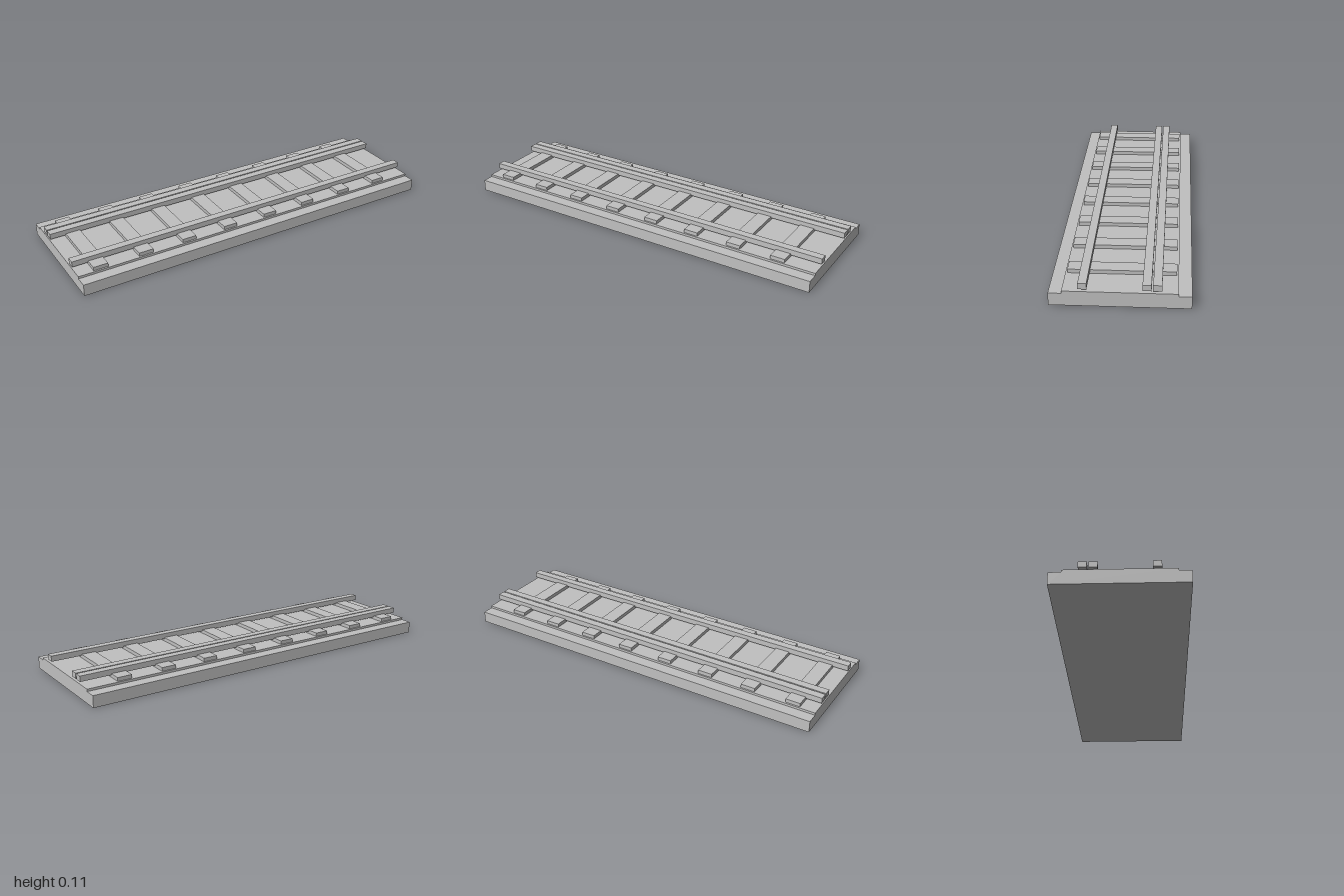
import * as THREE from 'three';

export function createModel() {
  const group = new THREE.Group();
  group.name = 'railTrack';
  const grey = new THREE.MeshStandardMaterial({ color: 0xc0c0c0 });
  grey.name = 'plain grey';

  // Box spanning y0..y1 and z0..z1, centred on x
  function addBox(name, x, width, y0, y1, z0, z1) {
    const mesh = new THREE.Mesh(new THREE.BoxGeometry(width, y1 - y0, z1 - z0), grey);
    mesh.name = name;
    mesh.position.set(x, (y0 + y1) / 2, (z0 + z1) / 2);
    group.add(mesh);
  }

  // Stepped bed, one cross-section run along x
  const half = [[0.32, 0], [0.32, 0.061], [0.26, 0.061], [0.26, 0.073]];
  const mirrored = half.map(([z, y]) => [-z, y]).reverse();
  const section = new THREE.Shape([...half, ...mirrored].map(([z, y]) => new THREE.Vector2(z, y)));
  const bedGeometry = new THREE.ExtrudeGeometry(section, { depth: 2, bevelEnabled: false });
  bedGeometry.translate(0, 0, -1).rotateY(Math.PI / 2);
  const bed = new THREE.Mesh(bedGeometry, grey);
  bed.name = 'trackBed';
  group.add(bed);

  // Sleepers
  for (let i = 0; i < 8; i++) {
    addBox('sleeper', -0.88 + i * 0.24, 0.076, 0.068, 0.092, -0.251, 0.251);
  }

  // Running rails, then the extra rail inside the back one
  addBox('frontRail', 0, 2, 0.085, 0.114, 0.147, 0.187);
  addBox('backRail', 0, 2, 0.085, 0.114, -0.187, -0.147);
  addBox('guardRail', 0, 2, 0.085, 0.114, -0.14, -0.1);

  return group;
}
